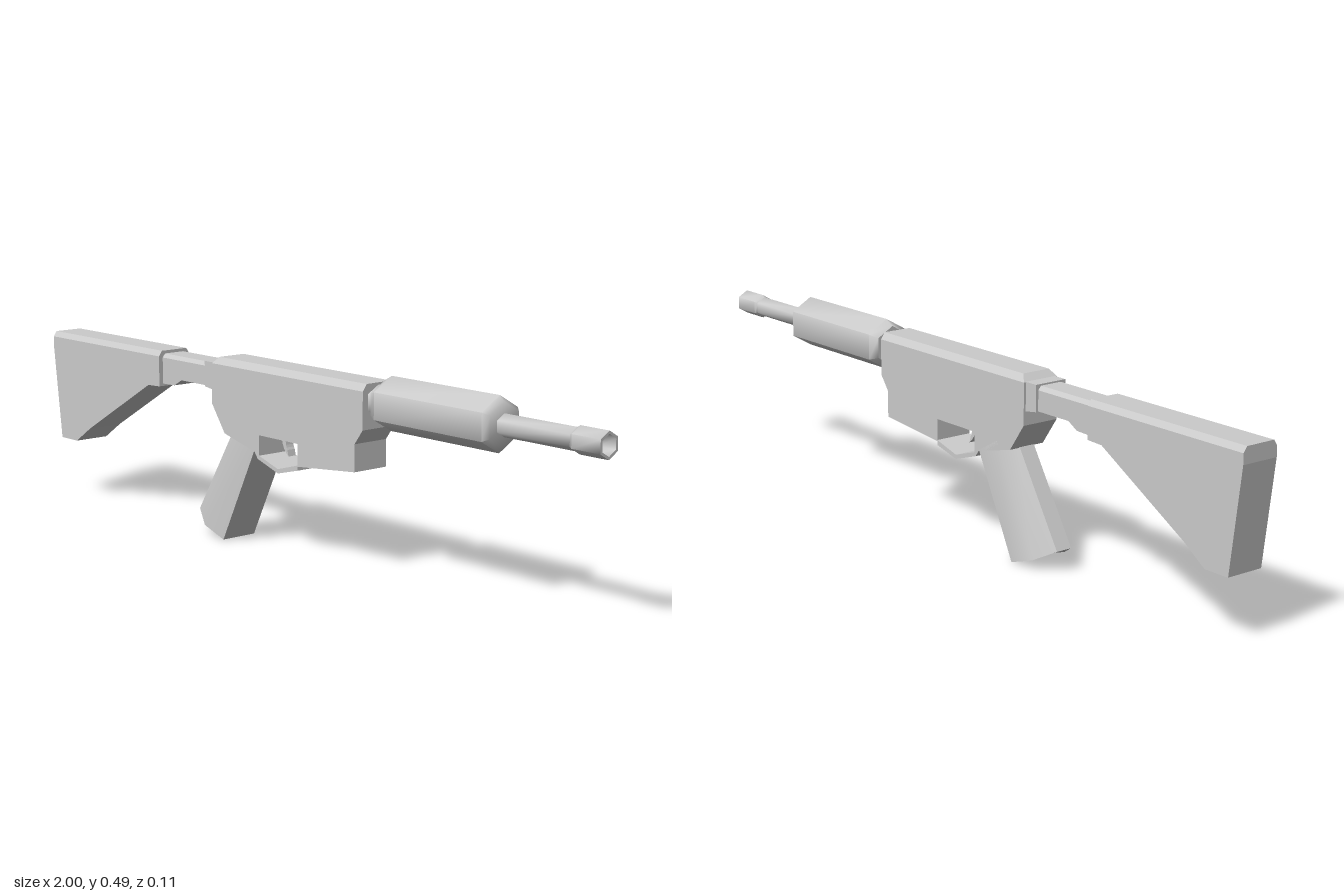
import * as THREE from 'three';
import { toCreasedNormals, mergeGeometries } from 'three/addons/utils/BufferGeometryUtils.js';

const material = new THREE.MeshStandardMaterial({ color: 0xcccccc, side: THREE.DoubleSide });
const AXIS_Y = 0.427; // height of the barrel axis

const part = (name, geometry) => {
  const mesh = new THREE.Mesh(geometry, material);
  mesh.name = name;
  return mesh;
};

const shapeOf = (pts) => new THREE.Shape(pts.map(([x, y]) => new THREE.Vector2(x, y)));

// Side profile extruded symmetrically about z = 0
function slab(pts, halfWidth, hole) {
  const shape = shapeOf(pts);
  if (hole) shape.holes.push(new THREE.Path(hole.map(([x, y]) => new THREE.Vector2(x, y))));
  return new THREE.ExtrudeGeometry(shape, { depth: 2 * halfWidth, bevelEnabled: false, curveSegments: 6 })
    .translate(0, 0, -halfWidth);
}

// Low strip whose upper edge is drawn in, giving the chamfered top of a slab
function topStrip(x0, x1, y0, y1, halfWidth, inset, rearInset = 0) {
  const geo = new THREE.BoxGeometry(x1 - x0, y1 - y0, 2 * halfWidth)
    .translate((x0 + x1) / 2, (y0 + y1) / 2, 0);
  const p = geo.attributes.position;
  for (let i = 0; i < p.count; i++) {
    if (p.getY(i) < (y0 + y1) / 2) continue;
    p.setZ(i, Math.sign(p.getZ(i)) * (halfWidth - inset));
    if (p.getX(i) < (x0 + x1) / 2) p.setX(i, x0 + rearInset);
  }
  geo.computeVertexNormals();
  return geo;
}

const capped = (body, strip) => mergeGeometries([body.toNonIndexed ? (body.index ? body.toNonIndexed() : body) : body, strip.toNonIndexed()]);

// Six-sided turned part along x, from [x, radius] pairs
function hexTurned(profile) {
  const geo = new THREE.LatheGeometry(profile.map(([x, r]) => new THREE.Vector2(r, x)), 6, Math.PI / 2);
  geo.rotateZ(-Math.PI / 2).translate(0, AXIS_Y, 0);
  return toCreasedNormals(geo, 1.1);
}

// Grip: two matching six-point sections, flat at the front and narrowed at the rear
function gripGeometry() {
  const section = ([front, crease, rear]) => [
    [...front, 0.051], [...front, -0.051], [...crease, -0.051],
    [...rear, -0.022], [...rear, 0.022], [...crease, 0.051],
  ];
  const low = section([[-0.243, 0], [-0.32, 0.025], [-0.377, 0.056]]);
  const high = section([[-0.108, 0.27], [-0.18, 0.3], [-0.228, 0.295]]);
  const index = [];
  for (let i = 0; i < 6; i++) {
    const j = (i + 1) % 6;
    index.push(i, j, j + 6, i, j + 6, i + 6);
  }
  for (let i = 1; i < 5; i++) index.push(0, i + 1, i, 6, 6 + i, 7 + i);
  const geo = new THREE.BufferGeometry();
  geo.setAttribute('position', new THREE.Float32BufferAttribute([...low, ...high].flat(), 3));
  geo.setIndex(index);
  return toCreasedNormals(geo, 0.9);
}

export function createModel() {
  const model = new THREE.Group();
  model.name = 'rifle';

  // Shoulder stock
  model.add(part('stock', capped(
    slab([[-1, 0.446], [-1, 0.42], [-0.968, 0.163], [-0.897, 0.163], [-0.83, 0.208],
      [-0.558, 0.364], [-0.51, 0.366], [-0.51, 0.446]], 0.05),
    topStrip(-1, -0.51, 0.446, 0.46, 0.05, 0.01))));

  // Narrow tube joining stock and receiver, with its collar
  model.add(part('stockTube', capped(
    slab([[-0.52, 0.442], [-0.52, 0.372], [-0.46, 0.374], [-0.43, 0.391], [-0.3, 0.391], [-0.3, 0.442]], 0.038),
    topStrip(-0.52, -0.3, 0.442, 0.452, 0.038, 0.008))));
  model.add(part('tubeCollar', slab(
    [[-0.322, 0.456], [-0.322, 0.39], [-0.28, 0.384], [-0.28, 0.456]], 0.045)));

  // Receiver with trigger guard and its opening
  model.add(part('receiver', capped(
    slab([[-0.285, 0.455], [-0.285, 0.35], [-0.235, 0.28], [-0.115, 0.25], [-0.103, 0.234],
      [-0.025, 0.209], [0.05, 0.228], [0.05, 0.238], [0.257, 0.257], [0.257, 0.325],
      [0.285, 0.362], [0.285, 0.455]], 0.051,
    [[-0.098, 0.295], [0.05, 0.295], [0.05, 0.241], [-0.025, 0.22], [-0.098, 0.243]]),
    topStrip(-0.285, 0.285, 0.455, 0.472, 0.051, 0.012, 0.017))));

  model.add(part('grip', gripGeometry()));

  // Curved trigger
  const trigger = new THREE.Shape();
  trigger.moveTo(-0.056, 0.3);
  trigger.quadraticCurveTo(-0.056, 0.265, -0.03, 0.246);
  trigger.lineTo(-0.034, 0.262);
  trigger.quadraticCurveTo(-0.043, 0.275, -0.04, 0.3);
  model.add(part('trigger', new THREE.ExtrudeGeometry(trigger, { depth: 0.024, bevelEnabled: false, curveSegments: 5 })
    .translate(0, 0, -0.012)));

  // Barrel group, all six-sided
  model.add(part('barrelNeck', hexTurned([[0.27, 0.04], [0.32, 0.04]])));
  model.add(part('handguard', hexTurned(
    [[0.305, 0], [0.305, 0.052], [0.33, 0.066], [0.68, 0.066], [0.695, 0.053], [0.695, 0]])));
  model.add(part('barrel', hexTurned([[0.68, 0.027], [0.93, 0.027]])));
  model.add(part('muzzle', hexTurned(
    [[0.908, 0.026], [0.918, 0.032], [1, 0.032], [1, 0.025], [0.95, 0.025], [0.95, 0]])));

  return model;
}
